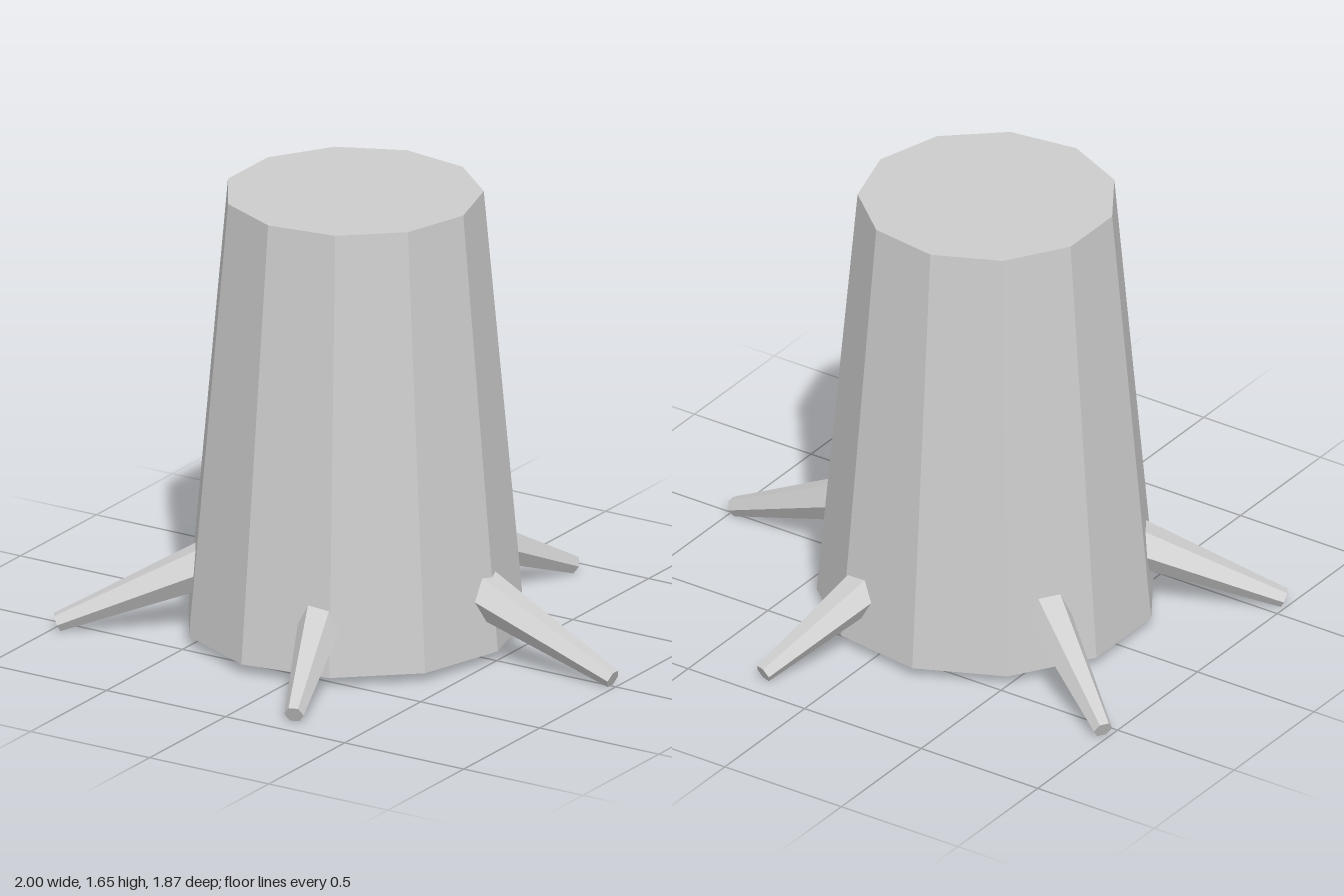
import * as THREE from 'three';

const CENTRE_X = -0.102;

export function createModel() {
  const model = new THREE.Group();
  model.name = 'treeStump';
  const bark = new THREE.MeshStandardMaterial({ color: 0xcccccc, flatShading: true });
  bark.name = 'greyBark';

  // Tapered eleven-sided trunk with one corner pointing to +x
  const bottom = 0.04, top = 1.655;
  const trunk = new THREE.Mesh(
    new THREE.CylinderGeometry(0.462, 0.607, top - bottom, 11, 1, false, Math.PI / 2),
    bark
  );
  trunk.name = 'trunk';
  trunk.position.set(CENTRE_X, (top + bottom) / 2, 0);
  model.add(trunk);

  // Five six-sided roots, sloping from inside the trunk down to the ground
  const startFraction = 0.4, tipY = 0.032, rise = 0.436;
  for (let i = 0; i < 5; i++) {
    const a = (i / 5) * Math.PI * 2;
    const dx = 1.09 * Math.cos(a), dz = 0.965 * Math.sin(a);
    const reach = Math.hypot(dx, dz);
    const run = reach * (1 - startFraction);
    const drop = rise * (1 - startFraction);

    const root = new THREE.Group();
    root.name = `root${i + 1}`;
    root.position.x = CENTRE_X;
    root.rotation.y = -Math.atan2(dz, dx);

    const limb = new THREE.Mesh(
      new THREE.CylinderGeometry(0.035, 0.096, Math.hypot(run, drop), 6),
      bark
    );
    limb.name = 'rootLimb';
    limb.position.set(reach - run / 2, tipY + drop / 2, 0);
    limb.rotation.z = -Math.PI / 2 - Math.atan2(drop, run);
    root.add(limb);
    model.add(root);
  }
  return model;
}
